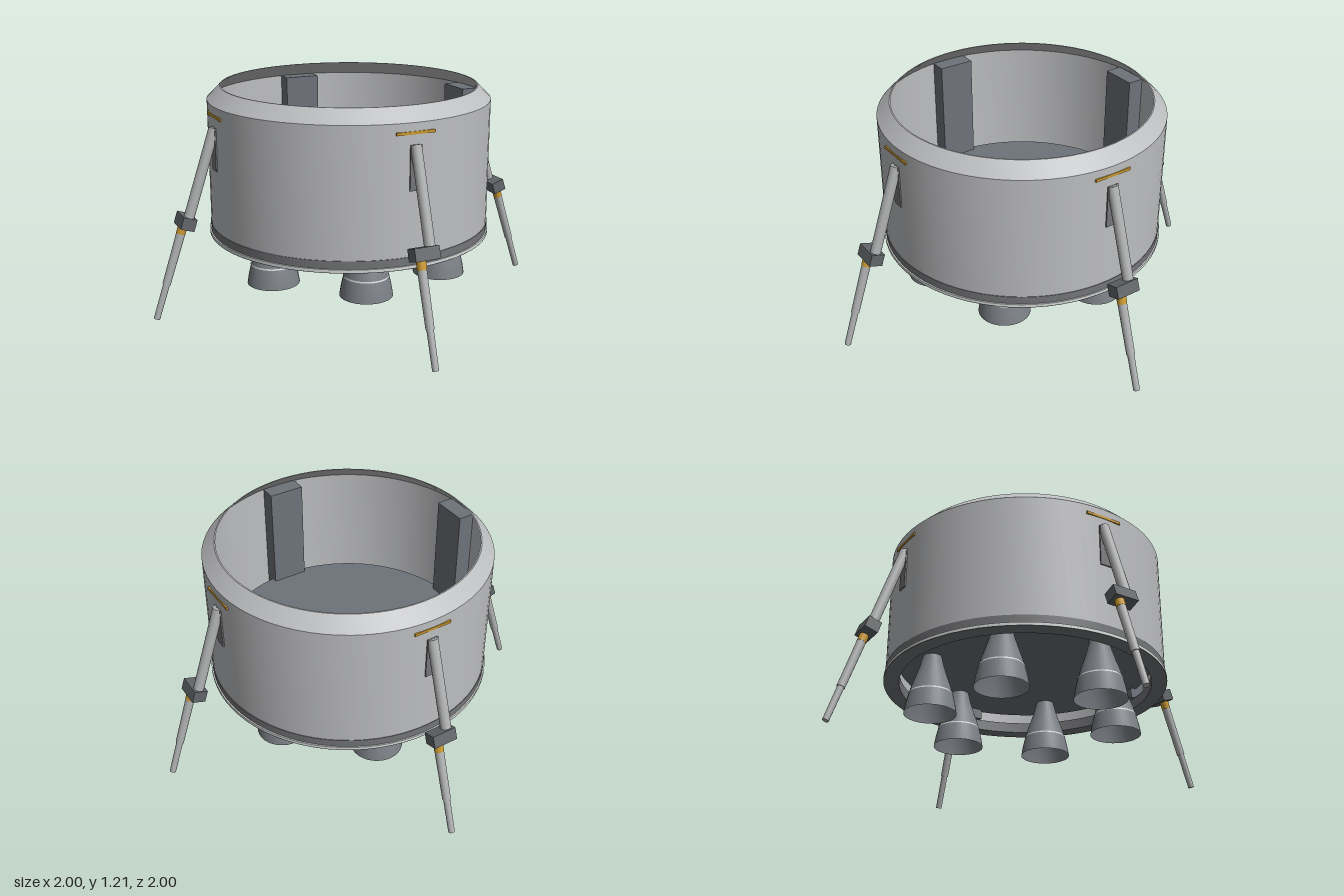
import * as THREE from 'three';
import { toCreasedNormals } from 'three/addons/utils/BufferGeometryUtils.js';

const mat = (name, color, side = THREE.FrontSide) => {
  const m = new THREE.MeshStandardMaterial({ color, side });
  m.name = name;
  return m;
};

export function createModel() {
  const hull = mat('hull grey', 0xbdbec0);
  const skirtGrey = mat('skirt grey', 0x76777a);
  const slate = mat('slate', 0x6e737a);
  const nozzleGrey = mat('nozzle grey', 0x7c8187, THREE.DoubleSide);
  const jointGrey = mat('joint grey', 0x63666a);
  const strutGrey = mat('strut grey', 0xb0b1b2);
  const gold = mat('gold', 0xc9982f);
  const pale = mat('pale trim', 0xd6dad8);

  const root = new THREE.Group();
  root.name = 'landerStage';

  const add = (parent, name, geo, material, x = 0, y = 0, z = 0) => {
    const m = new THREE.Mesh(geo, material);
    m.name = name;
    m.position.set(x, y, z);
    parent.add(m);
    return m;
  };
  // Turned part: outer profile listed upwards, inner profile downwards
  const turned = (pts, seg = 72) => toCreasedNormals(
    new THREE.LatheGeometry(pts.map(p => new THREE.Vector2(...p)), seg), 0.5);
  const box = (w, h, d) => new THREE.BoxGeometry(w, h, d);

  // Thin open hull with an inward sloping lip
  add(root, 'hullShell', turned([
    [0.765, 0.46], [0.765, 1.14], [0.695, 1.21], [0.688, 1.21], [0.757, 1.137], [0.757, 0.46],
  ]), hull);

  // Lower skirt and its pale edge
  add(root, 'skirt', turned([
    [0.69, 0.403], [0.766, 0.403], [0.768, 0.463], [0.69, 0.463], [0.69, 0.403],
  ]), skirtGrey);
  add(root, 'skirtEdge', turned([
    [0.76, 0.405], [0.774, 0.405], [0.774, 0.42], [0.76, 0.42],
  ]), pale);
  add(root, 'skirtUnderside', turned([[0.69, 0.402], [0.774, 0.402], [0.774, 0.406]]), skirtGrey);

  // Engine deck
  add(root, 'deck', new THREE.CylinderGeometry(0.7, 0.7, 0.03, 72), slate, 0, 0.535, 0);

  // Six engine bells in a ring
  const bell = new THREE.LatheGeometry([
    [0.14, 0.19], [0.132, 0.24], [0.118, 0.30], [0.103, 0.35], [0.085, 0.40], [0.066, 0.46], [0.05, 0.525],
  ].map(p => new THREE.Vector2(...p)), 32);
  const bellBand = new THREE.CylinderGeometry(0.1195, 0.1215, 0.008, 32, 1, true);
  for (let i = 0; i < 6; i++) {
    const a = THREE.MathUtils.degToRad(15 + 60 * i);
    const engine = new THREE.Group();
    engine.name = 'engine' + (i + 1);
    engine.position.set(0.525 * Math.cos(a), 0, 0.525 * Math.sin(a));
    add(engine, 'bell', bell, nozzleGrey);
    add(engine, 'bellBand', bellBand, pale, 0, 0.3, 0);
    root.add(engine);
  }

  // Rod along -y, from distance s0 to s1 below the pivot
  const rod = (parent, name, s0, s1, rTop, rBottom, material, x) =>
    add(parent, name, new THREE.CylinderGeometry(rTop, rBottom, s1 - s0, 20), material, x, -(s0 + s1) / 2, 0);

  // Four legs with their bays; local x is tangent, local z is radial
  for (let i = 0; i < 4; i++) {
    const side = new THREE.Group();
    side.name = 'legAssembly' + (i + 1);
    side.rotation.y = THREE.MathUtils.degToRad(30 + 90 * i);
    root.add(side);

    add(side, 'innerBay', box(0.2, 0.675, 0.092), slate, 0, 0.8, 0.706);
    add(side, 'stripe', box(0.21, 0.015, 0.009), gold, 0, 1.09, 0.763);
    add(side, 'mountPlate', box(0.062, 0.23, 0.02), skirtGrey, 0, 0.917, 0.761);

    const leg = new THREE.Group();
    leg.name = 'leg';
    leg.position.set(0, 1.02, 0.768);
    leg.rotation.x = -0.32;
    side.add(leg);
    rod(leg, 'upperStrut', -0.01, 0.49, 0.028, 0.028, strutGrey, 0);
    add(leg, 'joint', box(0.135, 0.065, 0.075), jointGrey, -0.035, -0.51, 0);
    rod(leg, 'collar', 0.54, 0.585, 0.025, 0.025, gold, -0.058);
    rod(leg, 'lowerStrut', 0.585, 0.87, 0.024, 0.022, strutGrey, -0.058);
    rod(leg, 'foot', 0.87, 1.069, 0.018, 0.017, strutGrey, -0.058);
  }
  return root;
}
